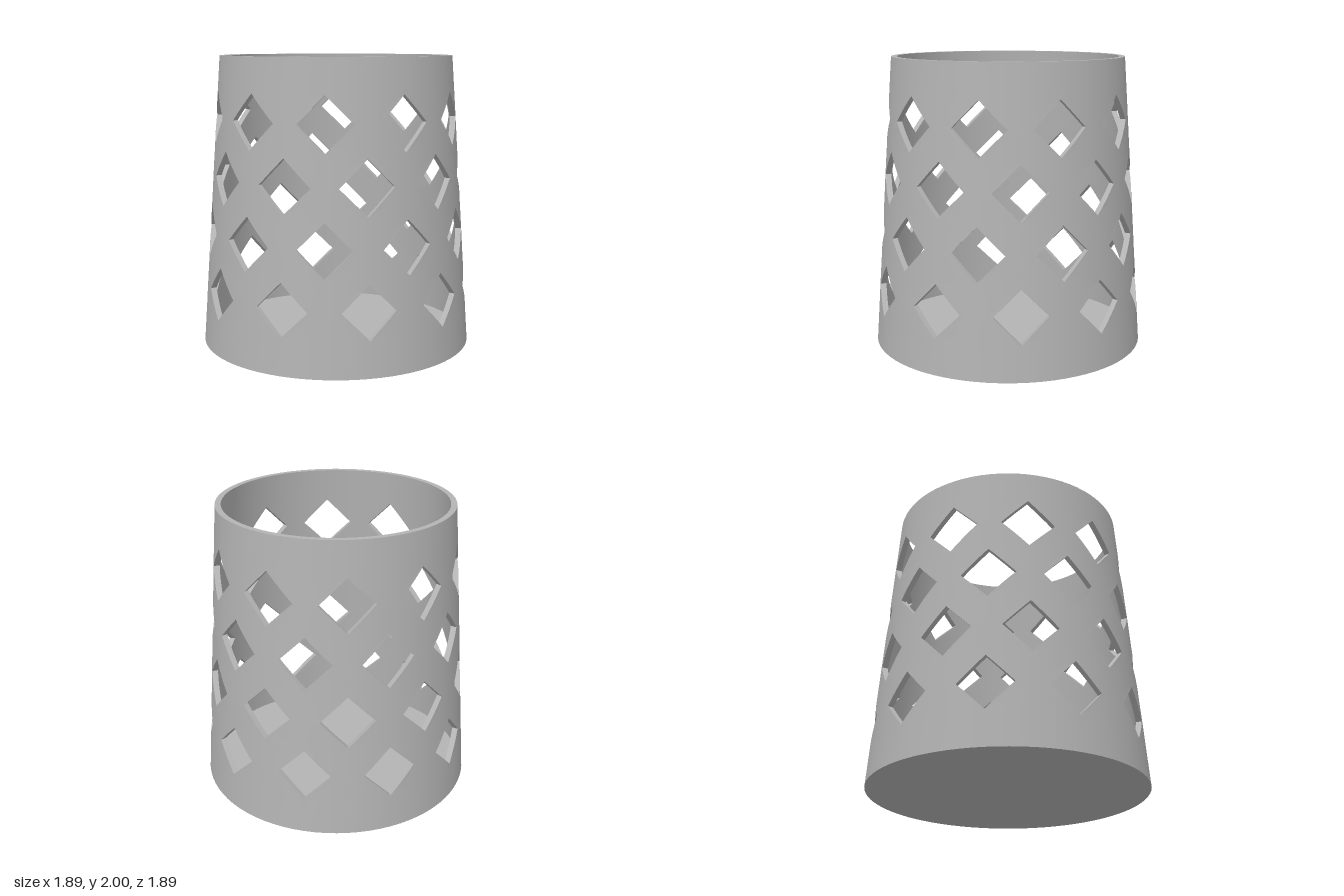
import * as THREE from 'three';
import { mergeVertices, toCreasedNormals } from 'three/addons/utils/BufferGeometryUtils.js';

const HEIGHT = 2, R_BOTTOM = 0.945, R_TOP = 0.8, WALL = 0.04, FLOOR = 0.04;
const HOLES = 10, COLS = 8, HALF = 0.18, SEGMENTS = HOLES * COLS;
const ROWS = [0.42, 0.81, 1.2, 1.59]; // heights of the diamond rows
const STEP = (Math.PI * 2) / HOLES;

const outerRadius = (y) => R_BOTTOM + (R_TOP - R_BOTTOM) * (y / HEIGHT);
const innerRadius = (y) => outerRadius(y) - WALL;
const point = (r, a, y) => [r * Math.sin(a), y, r * Math.cos(a)];

// Horizontal slices of the wall: height, half width of the holes, row phase
function makeBands(yStart) {
  const bands = [];
  let last = yStart;
  ROWS.forEach((yc, row) => {
    const phase = row % 2 ? 0 : STEP / 2;
    bands.push({ y0: last, y1: yc - HALF, w0: 0, w1: 0, phase });
    const n = 8;
    for (let i = 0; i < n; i++) {
      const v0 = -HALF + (2 * HALF * i) / n, v1 = -HALF + (2 * HALF * (i + 1)) / n;
      bands.push({ y0: yc + v0, y1: yc + v1, w0: HALF - Math.abs(v0), w1: HALF - Math.abs(v1), phase });
    }
    last = yc + HALF;
  });
  bands.push({ y0: last, y1: HEIGHT, w0: 0, w1: 0, phase: 0 });
  return bands;
}

// Angle of column k (0..COLS) in the solid strip between holes h and h + 1
function stripAngle(h, k, phase, w, r) {
  const cut = Math.asin(Math.max(w, 0) / r);
  return phase + h * STEP + cut + (STEP - 2 * cut) * (k / COLS);
}

function toGeometry(quads) {
  const pos = [];
  for (const [a, b, c, d] of quads) pos.push(...a, ...b, ...c, ...a, ...c, ...d);
  const g = new THREE.BufferGeometry();
  g.setAttribute('position', new THREE.Float32BufferAttribute(pos, 3));
  return toCreasedNormals(mergeVertices(g, 1e-5), 0.5);
}

// Pierced tapered skin, facing outwards or inwards
function skin(radius, yStart, inward) {
  const quads = [];
  for (const { y0, y1, w0, w1, phase } of makeBands(yStart)) {
    const r0 = radius(y0), r1 = radius(y1);
    for (let h = 0; h < HOLES; h++) {
      for (let k = 0; k < COLS; k++) {
        const q = [
          point(r0, stripAngle(h, k, phase, w0, r0), y0),
          point(r0, stripAngle(h, k + 1, phase, w0, r0), y0),
          point(r1, stripAngle(h, k + 1, phase, w1, r1), y1),
          point(r1, stripAngle(h, k, phase, w1, r1), y1),
        ];
        quads.push(inward ? q.reverse() : q);
      }
    }
  }
  return toGeometry(quads);
}

// Faces through the wall thickness around every diamond
function holeSides() {
  const quads = [];
  for (const { y0, y1, w0, w1, phase } of makeBands(0)) {
    if (w0 + w1 < 1e-6) continue;
    for (let h = 0; h < HOLES; h++) {
      for (const k of [0, COLS]) {
        const at = (radius, y, w) => point(radius(y), stripAngle(h, k, phase, w, radius(y)), y);
        const q = [
          at(innerRadius, y0, w0), at(outerRadius, y0, w0),
          at(outerRadius, y1, w1), at(innerRadius, y1, w1),
        ];
        quads.push(k ? q.reverse() : q);
      }
    }
  }
  return toGeometry(quads);
}

export function createModel() {
  const grey = new THREE.MeshStandardMaterial({ color: 0xb3b3b3 });
  grey.name = 'plain grey';
  const basket = new THREE.Group();
  basket.name = 'basket';
  const add = (name, geometry) => {
    const mesh = new THREE.Mesh(geometry, grey);
    mesh.name = name;
    basket.add(mesh);
  };

  // Wall
  add('outerWall', skin(outerRadius, 0, false));
  add('innerWall', skin(innerRadius, FLOOR, true));
  add('holeSides', holeSides());

  // Rim
  add('rim', new THREE.RingGeometry(R_TOP - WALL, R_TOP, SEGMENTS, 1)
    .rotateX(-Math.PI / 2).translate(0, HEIGHT, 0));

  // Floor and underside
  add('floor', new THREE.CircleGeometry(innerRadius(FLOOR), SEGMENTS)
    .rotateX(-Math.PI / 2).translate(0, FLOOR, 0));
  add('underside', new THREE.CircleGeometry(R_BOTTOM, SEGMENTS).rotateX(Math.PI / 2));

  return basket;
}
